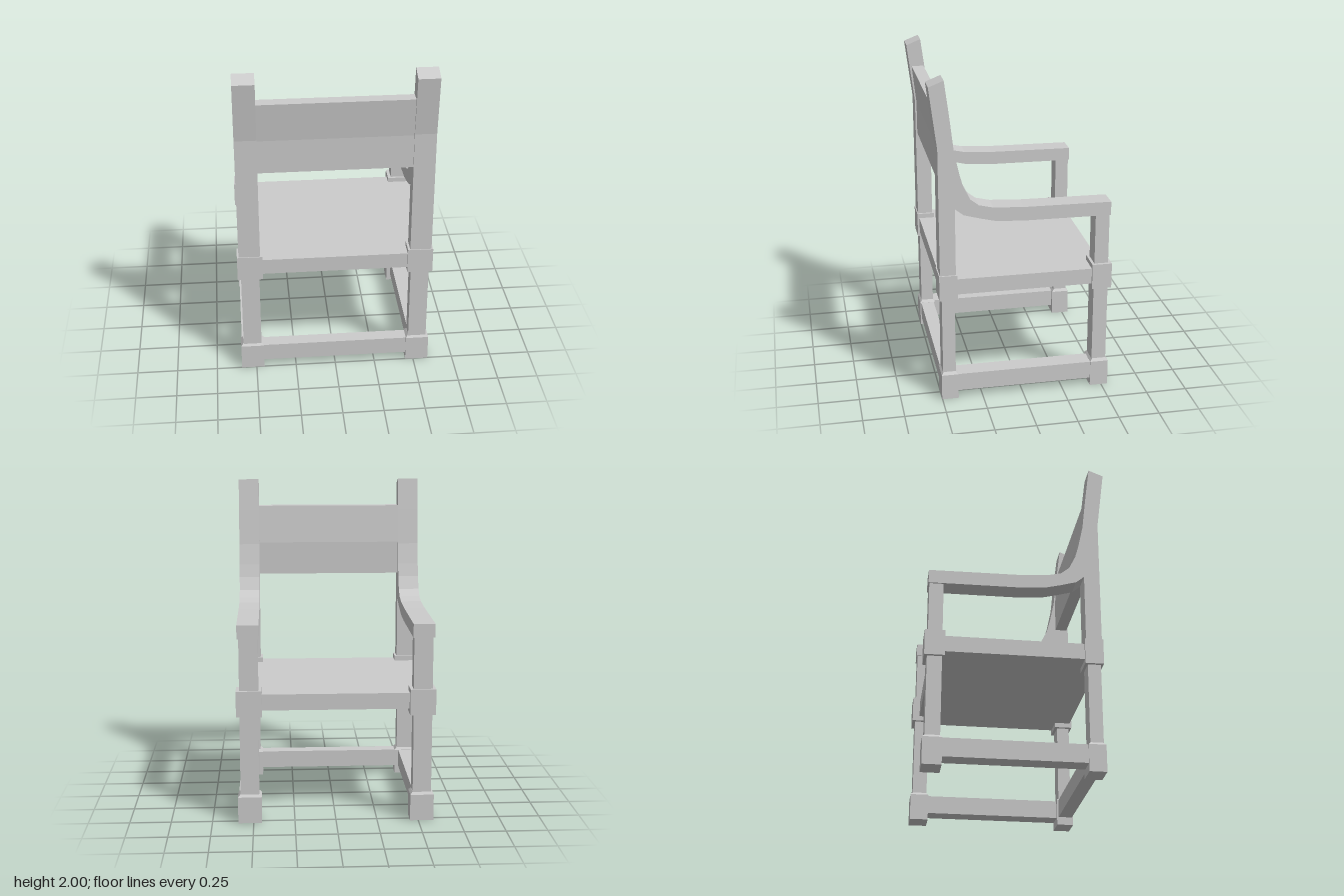
import * as THREE from 'three';

const material = new THREE.MeshStandardMaterial({ color: 0xcccccc, flatShading: true });

export function createModel() {
  const model = new THREE.Group();
  model.name = 'armchair';

  const add = (name, geometry) => {
    const mesh = new THREE.Mesh(geometry, material);
    mesh.name = name;
    model.add(mesh);
    return mesh;
  };

  // Box given by its limits; taper narrows the top face on every side
  const block = (name, x0, x1, y0, y1, z0, z1, taper = 0) => {
    const g = new THREE.BoxGeometry(x1 - x0, y1 - y0, z1 - z0);
    const p = g.attributes.position;
    for (let i = 0; i < p.count; i++) {
      if (p.getY(i) > 0) {
        p.setX(i, p.getX(i) - Math.sign(p.getX(i)) * taper);
        p.setZ(i, p.getZ(i) - Math.sign(p.getZ(i)) * taper);
      }
    }
    g.computeVertexNormals();
    g.translate((x0 + x1) / 2, (y0 + y1) / 2, (z0 + z1) / 2);
    return add(name, g);
  };

  // Block on one side, placed from mirrored x limits
  const sideBlock = (name, s, x0, x1, ...rest) =>
    block(name, Math.min(s * x0, s * x1), Math.max(s * x0, s * x1), ...rest);

  // Side profile of [z, y] points, extruded across x
  const profile = (name, points, x0, x1) => {
    const shape = new THREE.Shape(points.map(([z, y]) => new THREE.Vector2(z, y)));
    const g = new THREE.ExtrudeGeometry(shape, { depth: x1 - x0, bevelEnabled: false });
    g.rotateY(-Math.PI / 2);
    g.translate(x1, 0, 0);
    return add(name, g);
  };

  // Back post flowing into the armrest, as one sawn piece
  const armAndPost = [
    [0.5, 0.8], [0.5, 1.6], [0.545, 1.965], [0.456, 2.0], [0.43, 1.8],
    [0.405, 1.58], [0.377, 1.45], [0.355, 1.37], [0.315, 1.29], [0.265, 1.25],
    [0.18, 1.23], [0, 1.22], [-0.53, 1.215], [-0.53, 1.132], [0, 1.135],
    [0.165, 1.145], [0.26, 1.168], [0.355, 1.195], [0.405, 1.235], [0.405, 0.8],
  ].reverse();

  for (const s of [-1, 1]) {
    const side = s > 0 ? 'left' : 'right';
    profile(`${side}ArmAndBackPost`, armAndPost, s > 0 ? 0.457 : -0.587, s > 0 ? 0.587 : -0.457);
    sideBlock(`${side}ArmSupport`, s, 0.463, 0.577, 0.8, 1.135, -0.525, -0.44);

    // Foot, leg and joint block at the front (-z) and back (+z)
    for (const [end, z0, z1] of [['Arm', -0.54, -0.428], ['Back', 0.4, 0.502]]) {
      sideBlock(`${side}${end}Foot`, s, 0.45, 0.593, 0, 0.162, z0, z1);
      sideBlock(`${side}${end}FootBevel`, s, 0.45, 0.593, 0.162, 0.178, z0, z1, 0.014);
      sideBlock(`${side}${end}Leg`, s, 0.465, 0.577, 0.17, 0.67, z0 + 0.013, z1 - 0.011);
      sideBlock(`${side}${end}Joint`, s, 0.443, 0.597, 0.662, 0.82, z0 - 0.004, z1 + 0.004);
    }
    sideBlock(`${side}FloorRail`, s, 0.475, 0.588, 0.05, 0.161, -0.44, 0.41);
  }

  // Rail joining the back feet
  block('backFloorRail', -0.46, 0.46, 0.05, 0.161, 0.41, 0.495);

  // Seat slab
  block('seat', -0.583, 0.583, 0.692, 0.79, -0.5, 0.493);

  // Backrest panel, bent to follow the posts
  profile('backrest', [
    [0.415, 1.383], [0.49, 1.383], [0.49, 1.59], [0.515, 1.828], [0.44, 1.828], [0.415, 1.59],
  ], -0.47, 0.47);

  return model;
}
